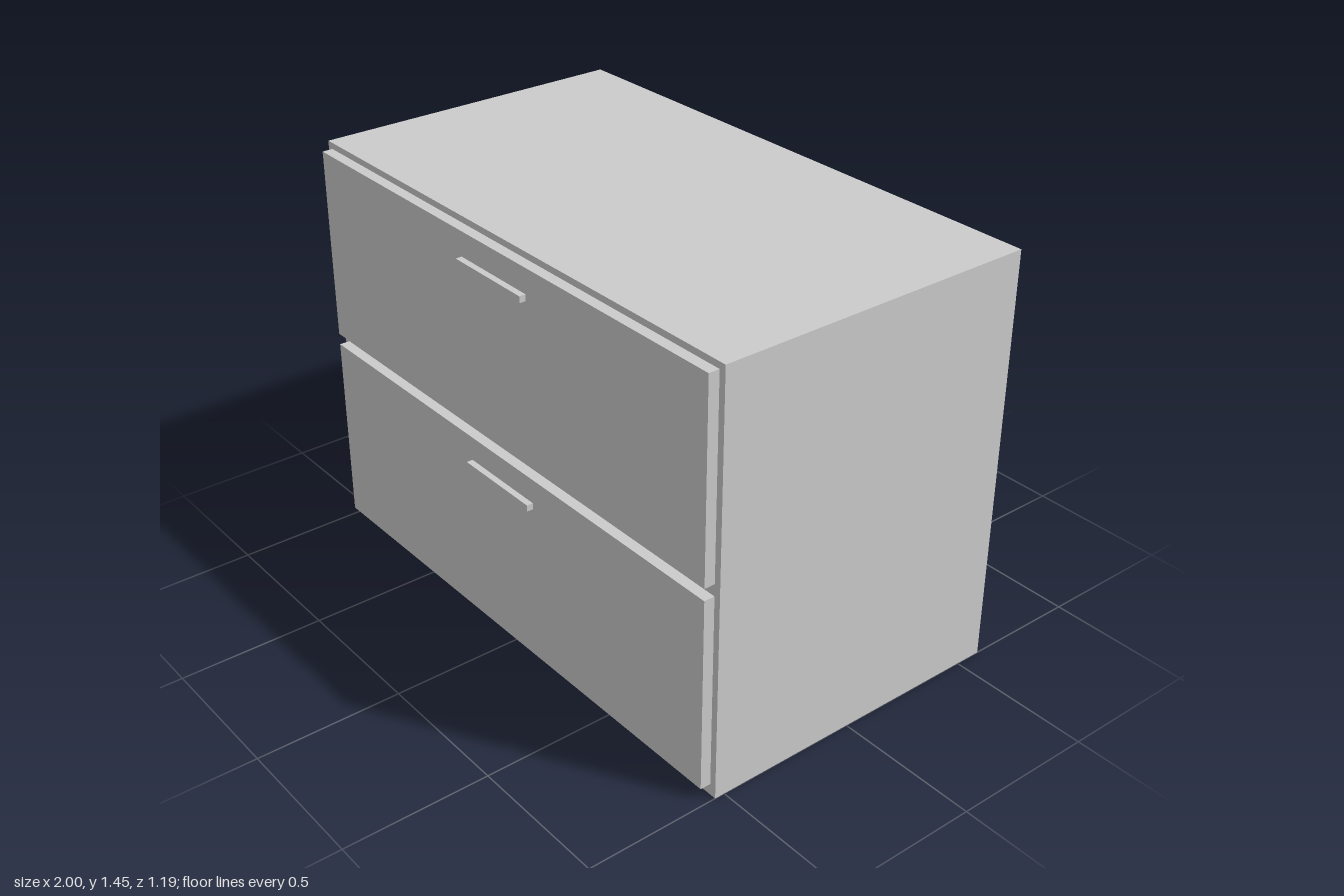
import * as THREE from 'three';

const material = new THREE.MeshStandardMaterial({ color: 0xcccccc, side: THREE.DoubleSide });

// Box given by its extents, with one side left open
// (side order: +x, -x, +y, -y, +z, -z)
const BOTTOM = 3, BACK = 5;
function openBox(name, [x0, x1], [y0, y1], [z0, z1], openSide) {
  const geometry = new THREE.BoxGeometry(x1 - x0, y1 - y0, z1 - z0);
  const index = Array.from(geometry.index.array);
  index.splice(openSide * 6, 6);
  geometry.setIndex(index);
  geometry.clearGroups();
  geometry.translate((x0 + x1) / 2, (y0 + y1) / 2, (z0 + z1) / 2);
  const mesh = new THREE.Mesh(geometry, material);
  mesh.name = name;
  return mesh;
}

export function createModel() {
  const model = new THREE.Group();
  model.name = 'drawerCabinet';

  // Thin shell, open underneath
  const frontZ = 0.535;
  model.add(openBox('cabinetBody', [-1, 1], [0, 1.447], [-0.594, frontZ], BOTTOM));

  // Two equal drawers, each a raised front with a bar handle near its top
  const drawers = [['lowerDrawer', 0.04], ['upperDrawer', 0.753]];
  for (const [name, y] of drawers) {
    const drawer = new THREE.Group();
    drawer.name = name;
    drawer.add(
      openBox('drawerFront', [-0.977, 0.977], [0, 0.672], [frontZ, 0.572], BACK),
      openBox('handle', [-0.165, 0.165], [0.565, 0.587], [0.572, 0.594], BACK),
    );
    drawer.position.y = y;
    model.add(drawer);
  }
  return model;
}
